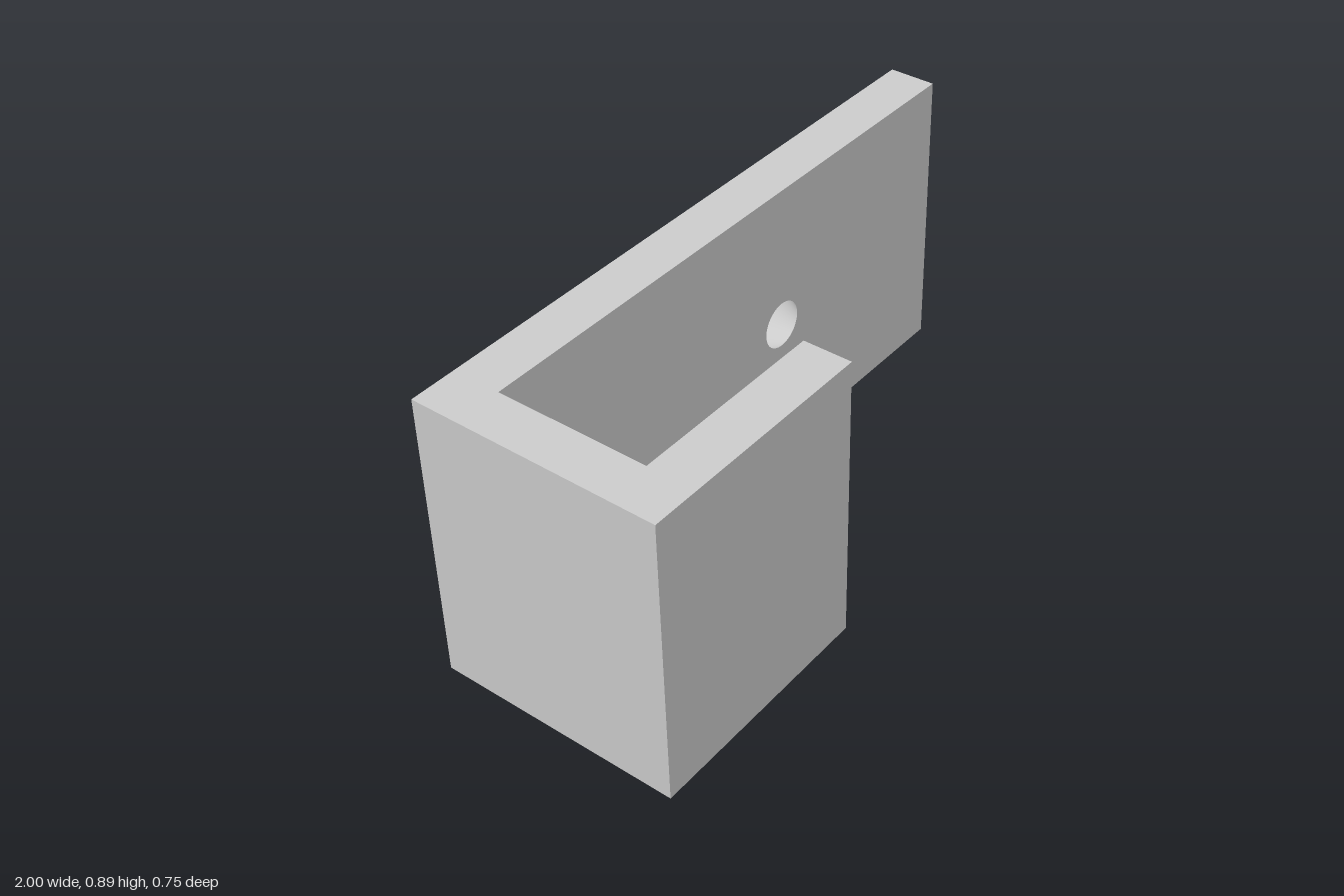
import * as THREE from 'three';
import { mergeGeometries } from 'three/addons/utils/BufferGeometryUtils.js';

const HEIGHT = 0.893, OUT = 0.373, IN = 0.228;
const HOLE = { x: 0.256, y: HEIGHT / 2, front: 0.073, back: 0.15 };

// Hook outline in plan as [x, z]; each edge becomes one wall facing outward.
const outline = [
  [-1, OUT], [-0.26, OUT], [-0.26, IN], [-0.857, IN],
  [-0.857, -IN], [1, -IN], [1, -OUT], [-1, -OUT],
];

// Upright wall from a to b, with an optional round hole.
function wall([ax, az], [bx, bz], radius) {
  const length = Math.hypot(bx - ax, bz - az);
  const shape = new THREE.Shape();
  shape.moveTo(0, 0).lineTo(length, 0).lineTo(length, HEIGHT).lineTo(0, HEIGHT).closePath();
  if (radius) {
    shape.holes.push(new THREE.Path().absarc(Math.abs(HOLE.x - ax), HOLE.y, radius, 0, Math.PI * 2, true));
  }
  return new THREE.ShapeGeometry(shape, 32)
    .rotateY(Math.atan2(az - bz, bx - ax))
    .translate(ax, 0, az);
}

// Horizontal cap: side +1 faces up, -1 faces down.
function cap(side) {
  const shape = new THREE.Shape(outline.map(([x, z]) => new THREE.Vector2(x, -side * z)));
  return new THREE.ShapeGeometry(shape)
    .rotateX(-side * Math.PI / 2)
    .translate(0, side > 0 ? HEIGHT : 0, 0);
}

export function createModel() {
  const group = new THREE.Group();
  group.name = 'hookBracket';
  const material = new THREE.MeshStandardMaterial({ color: 0xcccccc });

  // Bracket body: walls around the outline plus top and bottom caps
  const drilled = { 4: HOLE.front, 6: HOLE.back };
  const walls = outline.map((p, i) => wall(p, outline[(i + 1) % outline.length], drilled[i]));
  const body = new THREE.Mesh(mergeGeometries([...walls, cap(1), cap(-1)]), material);
  body.name = 'bracketBody';
  group.add(body);

  // Countersunk screw hole, widening toward the back and facing inward
  const cone = new THREE.LatheGeometry([
    new THREE.Vector2(HOLE.front, -IN),
    new THREE.Vector2(HOLE.back, -OUT),
  ], 64).rotateX(Math.PI / 2).translate(HOLE.x, HOLE.y, 0);
  const countersink = new THREE.Mesh(cone, material);
  countersink.name = 'countersunkHole';
  group.add(countersink);

  return group;
}
